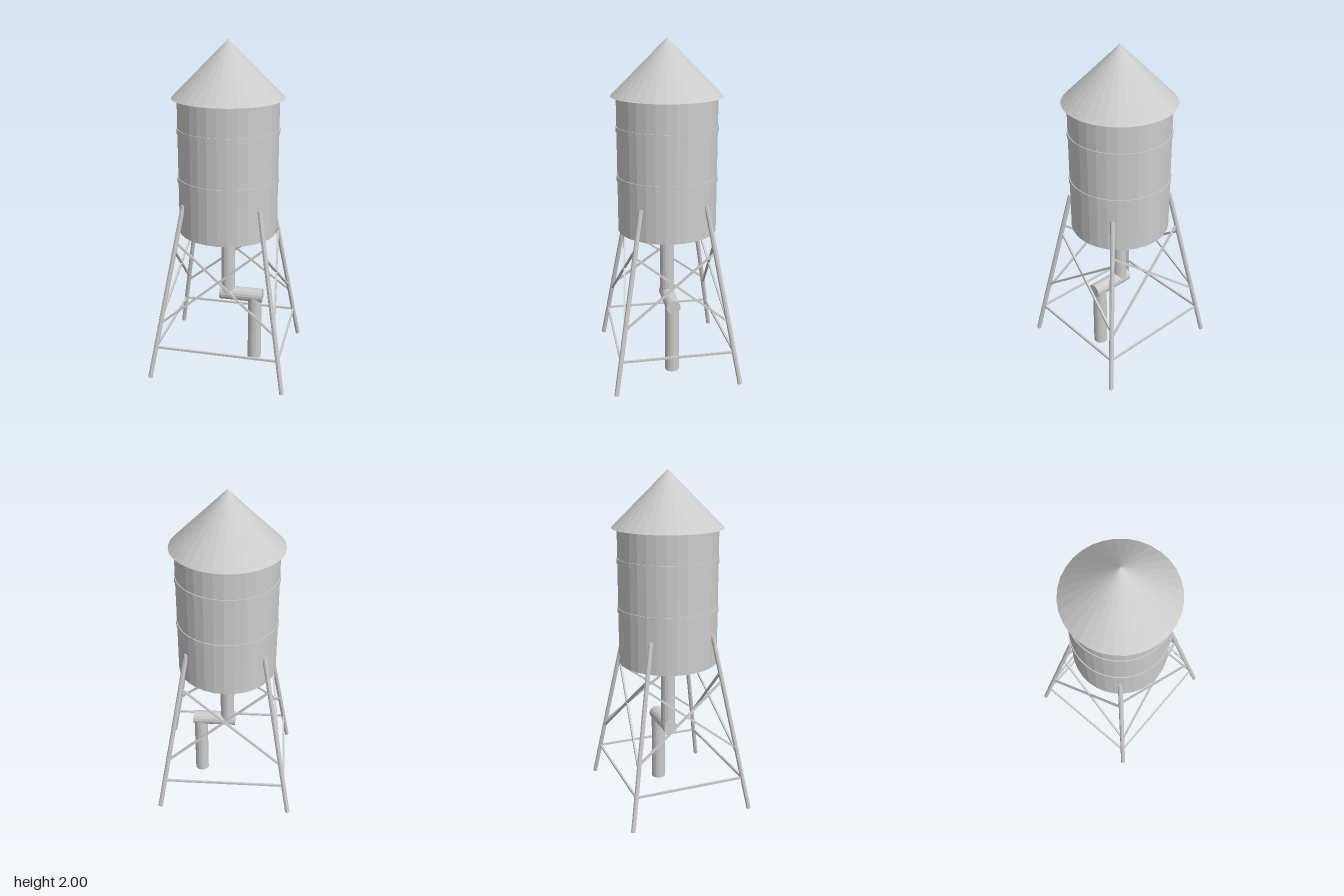
import * as THREE from 'three';

const material = new THREE.MeshStandardMaterial({ color: 0xcccccc, flatShading: true });
const UP = new THREE.Vector3(0, 1, 0);

function add(parent, name, geometry, x = 0, y = 0, z = 0) {
  const mesh = new THREE.Mesh(geometry, material);
  mesh.name = name;
  mesh.position.set(x, y, z);
  parent.add(mesh);
  return mesh;
}

// Straight member between two points: square bar, or round rod when sides is given
function strut(parent, name, a, b, thickness, sides = 0) {
  const dir = b.clone().sub(a);
  const length = dir.length();
  const geometry = sides
    ? new THREE.CylinderGeometry(thickness / 2, thickness / 2, length, sides)
    : new THREE.BoxGeometry(thickness, length, thickness);
  const mesh = add(parent, name, geometry);
  mesh.position.copy(a).add(b).multiplyScalar(0.5);
  mesh.quaternion.setFromUnitVectors(UP, dir.normalize());
  return mesh;
}

// Point on the centre line of the leg in corner (sx, sz) at height y
function legPoint(sx, sz, y) {
  const t = y / 1.07;
  return new THREE.Vector3(sx * (0.406 - 0.181 * t), y, sz * (0.371 - 0.181 * t));
}

export function createModel() {
  const model = new THREE.Group();
  model.name = 'waterTower';

  // Tank, hoops and conical roof
  const tank = new THREE.Group();
  tank.name = 'tank';
  model.add(tank);
  add(tank, 'tankBody', new THREE.CylinderGeometry(0.295, 0.295, 0.8, 32), 0, 1.275, 0);
  for (const y of [1.2, 1.49]) {
    add(tank, 'hoop', new THREE.CylinderGeometry(0.3, 0.3, 0.03, 32), 0, y, 0);
  }
  add(tank, 'roof', new THREE.ConeGeometry(0.326, 0.325, 32), 0, 1.8375, 0);

  // Four splayed legs
  const frame = new THREE.Group();
  frame.name = 'frame';
  model.add(frame);
  const corners = [[1, 1], [1, -1], [-1, -1], [-1, 1]];
  for (const [sx, sz] of corners) {
    strut(frame, 'leg', legPoint(sx, sz, 0.003), legPoint(sx, sz, 1.07), 0.028, 8);
  }

  // Each face has a low rail and a pair of crossed braces
  corners.forEach((a, i) => {
    const b = corners[(i + 1) % 4];
    const [low, high] = a[0] === b[0] ? [0.385, 0.8] : [0.35, 0.85];
    strut(frame, 'rail', legPoint(...a, 0.2), legPoint(...b, 0.2), 0.012);
    strut(frame, 'brace', legPoint(...a, low), legPoint(...b, high), 0.012);
    strut(frame, 'brace', legPoint(...b, low), legPoint(...a, high), 0.012);
  });

  // Stepped drain pipe
  const pipe = new THREE.Group();
  pipe.name = 'drainPipe';
  model.add(pipe);
  const r = 0.043;
  add(pipe, 'upperPipe', new THREE.CylinderGeometry(r, r, 0.44, 16), 0, 0.665, 0);
  add(pipe, 'crossPipe', new THREE.CylinderGeometry(r, r, 0.268, 16), 0.084, 0.445, 0)
    .rotation.z = Math.PI / 2;
  add(pipe, 'lowerPipe', new THREE.CylinderGeometry(r, r, 0.432, 16), 0.171, 0.229, 0);

  return model;
}
